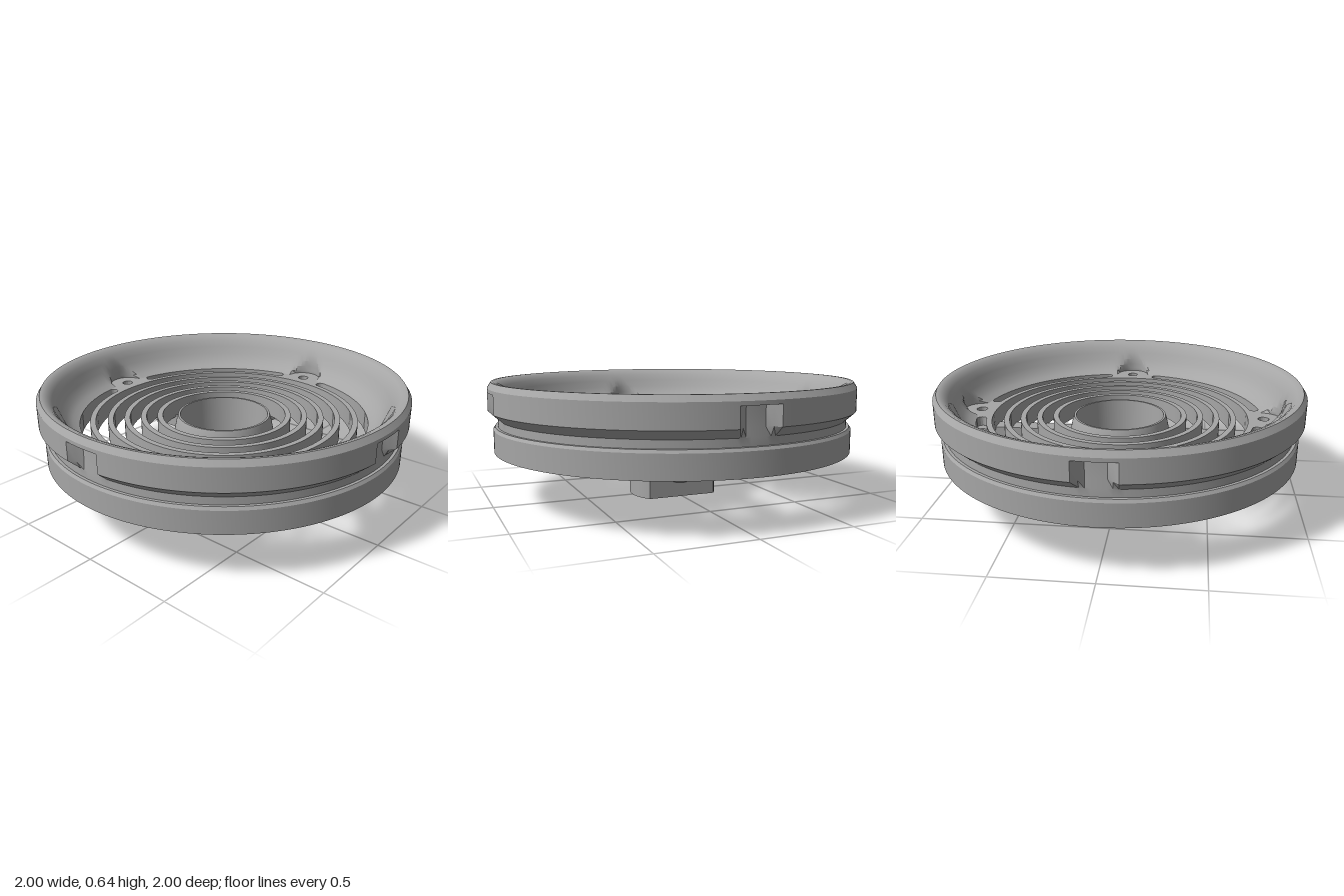
import * as THREE from 'three';
import { toCreasedNormals } from 'three/addons/utils/BufferGeometryUtils.js';

const SEGS = 240;
const QUARTER = Math.PI / 2;
const deg = THREE.MathUtils.degToRad;

// Lathe whose closed profile may change with the angle around the axis
function shell(profile) {
  const closed = (a) => { const p = profile(a); return [...p, p[0]]; };
  const geo = new THREE.LatheGeometry(closed(0).map(([r, y]) => new THREE.Vector2(r, y)), SEGS);
  const pos = geo.attributes.position;
  const count = closed(0).length;
  for (let i = 0; i <= SEGS; i++) {
    const a = (i / SEGS) * Math.PI * 2;
    closed(a).forEach(([r, y], j) => pos.setXYZ(i * count + j, r * Math.sin(a), y, r * Math.cos(a)));
  }
  return toCreasedNormals(geo, 0.5);
}

// Angle to the nearest of the four axes
const offAxis = (a) => Math.abs(a - Math.round(a / QUARTER) * QUARTER);

// Curved slot with rounded ends
function arcSlot(mid, w, a0, a1) {
  const s = new THREE.Path();
  s.absarc(0, 0, mid + w, a0, a1, false);
  s.absarc(mid * Math.cos(a1), mid * Math.sin(a1), w, a1, a1 + Math.PI, false);
  s.absarc(0, 0, mid - w, a1, a0, true);
  s.absarc(mid * Math.cos(a0), mid * Math.sin(a0), w, a0 + Math.PI, a0 + Math.PI * 2, false);
  return s;
}

// Flat annulus with four slots and four screw holes
function plate(y, height, slotStart) {
  const shape = new THREE.Shape().absarc(0, 0, 0.94, 0, Math.PI * 2, false);
  shape.holes.push(new THREE.Path().absarc(0, 0, 0.705, 0, Math.PI * 2, true));
  for (let i = 0; i < 4; i++) {
    const a = i * QUARTER;
    shape.holes.push(new THREE.Path().absarc(0.79 * Math.cos(a), 0.79 * Math.sin(a), 0.03, 0, Math.PI * 2, true));
    shape.holes.push(arcSlot(0.762, 0.027, a + slotStart, a + QUARTER - slotStart));
  }
  const geo = new THREE.ExtrudeGeometry(shape, { depth: height, bevelEnabled: false, curveSegments: 48 });
  geo.rotateX(-Math.PI / 2).translate(0, y, 0);
  return toCreasedNormals(geo, 0.5);
}

export function createModel() {
  const group = new THREE.Group();
  const grey = new THREE.MeshStandardMaterial({ color: 0xa6a6a6 });
  grey.name = 'grey';
  const add = (geo, name) => {
    const mesh = new THREE.Mesh(geo, grey);
    mesh.name = name;
    group.add(mesh);
    return mesh;
  };

  // Outer ring: grooved outside with four notches, funnel inside with four screw pockets
  add(shell((a) => {
    const d = offAxis(a);
    const notch = THREE.MathUtils.mapLinear(THREE.MathUtils.clamp(d, deg(3), deg(6)), deg(3), deg(6), 0.945, 1);
    const root = 0.01 - (0.79 * Math.sin(d)) ** 2;
    const pocket = root > 0 ? 0.79 * Math.cos(d) + Math.sqrt(root) : 0;
    const funnel = [[0.945, 0.63], [0.92, 0.605], [0.9, 0.57], [0.88, 0.53], [0.855, 0.495], [0.825, 0.468], [0.79, 0.45]];
    return [
      [0.93, 0.27], [0.975, 0.27], [0.975, 0.39], [0.965, 0.405], [0.95, 0.405], [0.95, 0.445],
      [notch, 0.49], [notch, 0.59], [1, 0.59], [1, 0.61], [0.98, 0.64], [0.968, 0.64],
      ...funnel.map(([r, y]) => [Math.max(r, pocket), y]),
      [0.9, 0.4], [0.93, 0.36],
    ];
  }), 'outerRing');

  // Mounting plate: slots are longer in the upper layer, leaving small ledges
  add(plate(0.4, 0.05, deg(12)), 'mountingPlateTop');
  add(plate(0.35, 0.05, deg(16)), 'mountingPlateBottom');

  // Concentric grille rings
  for (const r of [0.34, 0.43, 0.52, 0.61]) {
    add(shell(() => [[r, 0.35], [r + 0.03, 0.35], [r + 0.03, 0.45], [r, 0.45]]), 'grilleRing');
  }

  // Four spokes under the rings
  for (let i = 0; i < 4; i++) {
    const geo = new THREE.BoxGeometry(0.48, 0.07, 0.09).translate(0.51, 0.325, 0);
    add(geo, 'spoke').rotation.y = i * QUARTER;
  }

  // Central hub: hollow collar, cone and flat-sided outlet
  add(shell((a) => {
    const c = Math.max(Math.abs(Math.cos(a)), 1e-4);
    const outer = Math.min(0.24, 0.145 / c);
    const inner = Math.min(0.19, 0.1 / c);
    return [
      [outer, 0], [outer, outer - 0.07], [0.295, 0.225], [0.295, 0.275], [0.262, 0.43], [0.255, 0.45],
      [0.243, 0.45], [0.236, 0.24], [0.19, 0.19], [0.19, 0.15], [inner, 0.15], [inner, 0],
    ];
  }), 'hub');

  return group;
}
